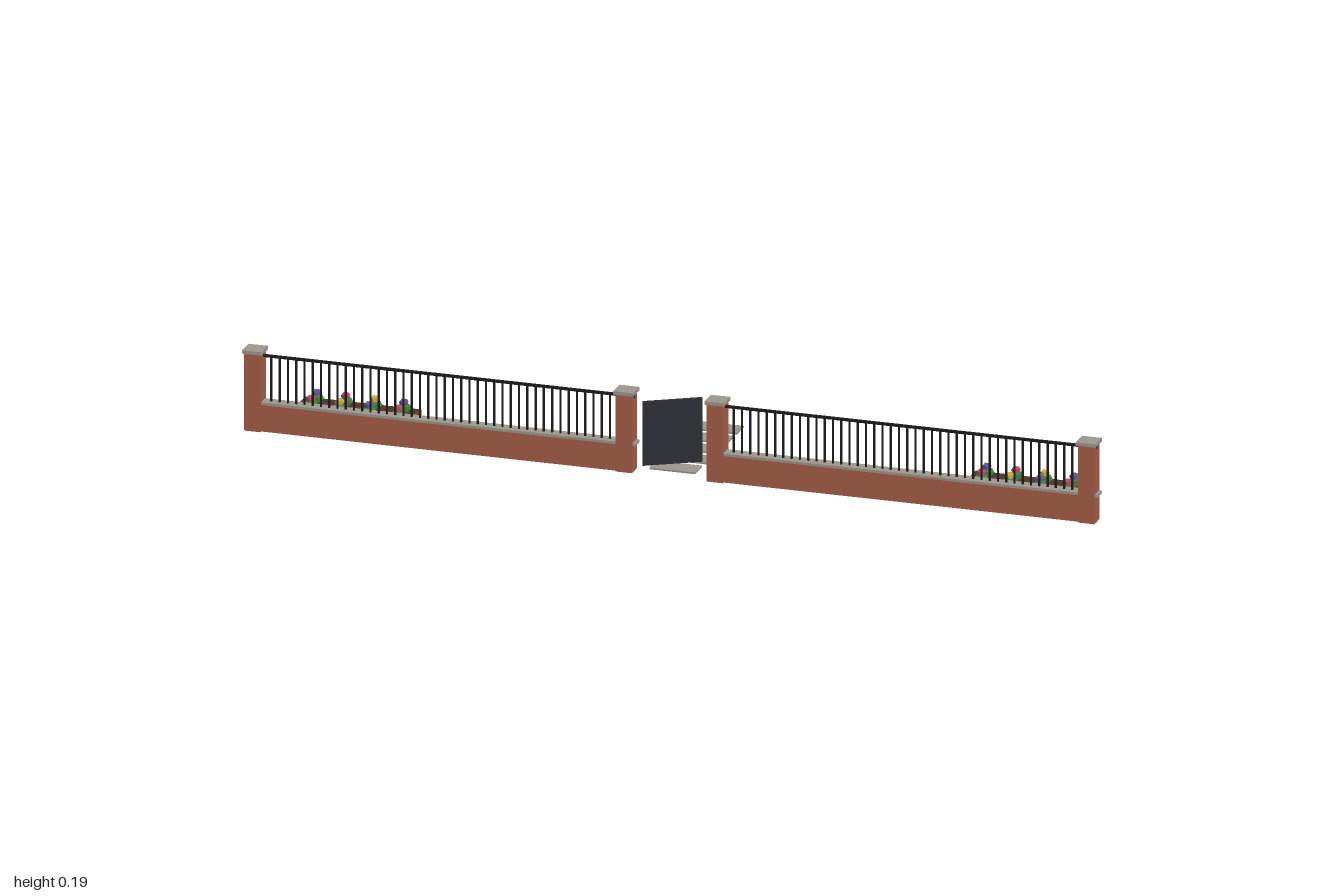
import * as THREE from 'three';

const mat = (name, color, flatShading = false) => {
  const m = new THREE.MeshStandardMaterial({ color, flatShading });
  m.name = name;
  return m;
};

export function createModel() {
  const brick = mat('brick', 0xa65c46);
  const stone = mat('stone', 0x9c978e);
  const iron = mat('iron', 0x1b1b1e);
  const gatePaint = mat('gatePaint', 0x2d2d35);
  const wood = mat('wood', 0x5b4030);
  const soil = mat('soil', 0x4a3222);
  const leaf = mat('leaf', 0x3f7a3c, true);
  const petals = [
    mat('redPetal', 0xb8485a, true),
    mat('yellowPetal', 0xc9a83a, true),
    mat('violetPetal', 0x62509c, true),
  ];

  const root = new THREE.Group();
  root.name = 'frontGardenBoundary';

  const add = (parent, name, geometry, material, x, y, z) => {
    const mesh = new THREE.Mesh(geometry, material);
    mesh.name = name;
    mesh.position.set(x, y, z);
    parent.add(mesh);
    return mesh;
  };
  // Box given by its x, y and z ranges
  const block = (parent, name, material, x0, x1, y0, y1, z0, z1) =>
    add(parent, name, new THREE.BoxGeometry(x1 - x0, y1 - y0, z1 - z0), material,
      (x0 + x1) / 2, (y0 + y1) / 2, (z0 + z1) / 2);

  const group = (name) => {
    const g = new THREE.Group();
    g.name = name;
    root.add(g);
    return g;
  };

  const fenceZ = 0.162;
  const posts = [-0.977, -0.109, 0.104, 0.972];

  // Brick posts with flat stone caps
  posts.forEach((x) => {
    const g = group('post');
    block(g, 'postShaft', brick, x - 0.019, x + 0.019, 0, 0.182, fenceZ - 0.019, fenceZ + 0.019);
    block(g, 'postCap', stone, x - 0.023, x + 0.023, 0.182, 0.19, fenceZ - 0.023, fenceZ + 0.023);
  });

  // Low wall, coping and railing between each pair of posts
  const barCount = 42;
  const barGeometry = new THREE.BoxGeometry(0.004, 0.106, 0.004);
  [[posts[0], posts[1]], [posts[2], posts[3]]].forEach(([a, b]) => {
    const g = group('wallPanel');
    block(g, 'wall', brick, a, b, 0, 0.063, fenceZ - 0.0135, fenceZ + 0.0135);
    block(g, 'coping', stone, a, b + 0.026, 0.063, 0.069, fenceZ - 0.0155, fenceZ + 0.0155);
    block(g, 'topRail', iron, a, b + 0.02, 0.172, 0.178, fenceZ - 0.0025, fenceZ + 0.0025);
    const start = a + 0.019;
    const step = (b - a - 0.038) / (barCount + 1);
    for (let i = 1; i <= barCount; i++) {
      add(g, 'railingBar', barGeometry, iron, start + i * step, 0.121, fenceZ);
    }
  });

  // Gate leaf standing ajar on its hinge
  const gate = group('gate');
  gate.position.set(-0.071, 0, fenceZ);
  gate.rotation.y = Math.PI / 6;
  block(gate, 'gateLeaf', gatePaint, 0, 0.135, 0.014, 0.165, -0.0025, 0.0025);

  // Stepping stones
  const path = group('path');
  [-0.002, -0.003, 0.002, -0.003, -0.008].forEach((x, i) => {
    const z = -0.1605 + i * 0.0698;
    block(path, 'steppingStone', stone, x - 0.0535, x + 0.0535, 0, 0.004, z - 0.0247, z + 0.0247);
  });

  // Planters with two rows of flowering bushes
  const bushGeometry = new THREE.DodecahedronGeometry(0.0172).scale(1, 0.75, 1);
  const flowerGeometry = new THREE.DodecahedronGeometry(0.011).scale(1, 0.85, 1);
  [-0.786, 0.781].forEach((cx) => {
    const g = group('planter');
    g.position.set(cx, 0, 0.017);
    block(g, 'planterBox', wood, -0.136, 0.136, 0, 0.018, -0.044, 0.044);
    block(g, 'soilBed', soil, -0.13, 0.13, 0.018, 0.02, -0.038, 0.038);
    for (let col = 0; col < 4; col++) {
      [0.021, -0.021].forEach((z, row) => {
        const x = -0.102 + col * 0.068;
        add(g, 'bush', bushGeometry, leaf, x, 0.025, z);
        add(g, 'flower', flowerGeometry, petals[(col + row * 2) % 3], x, 0.039, z);
      });
    }
  });

  return root;
}
